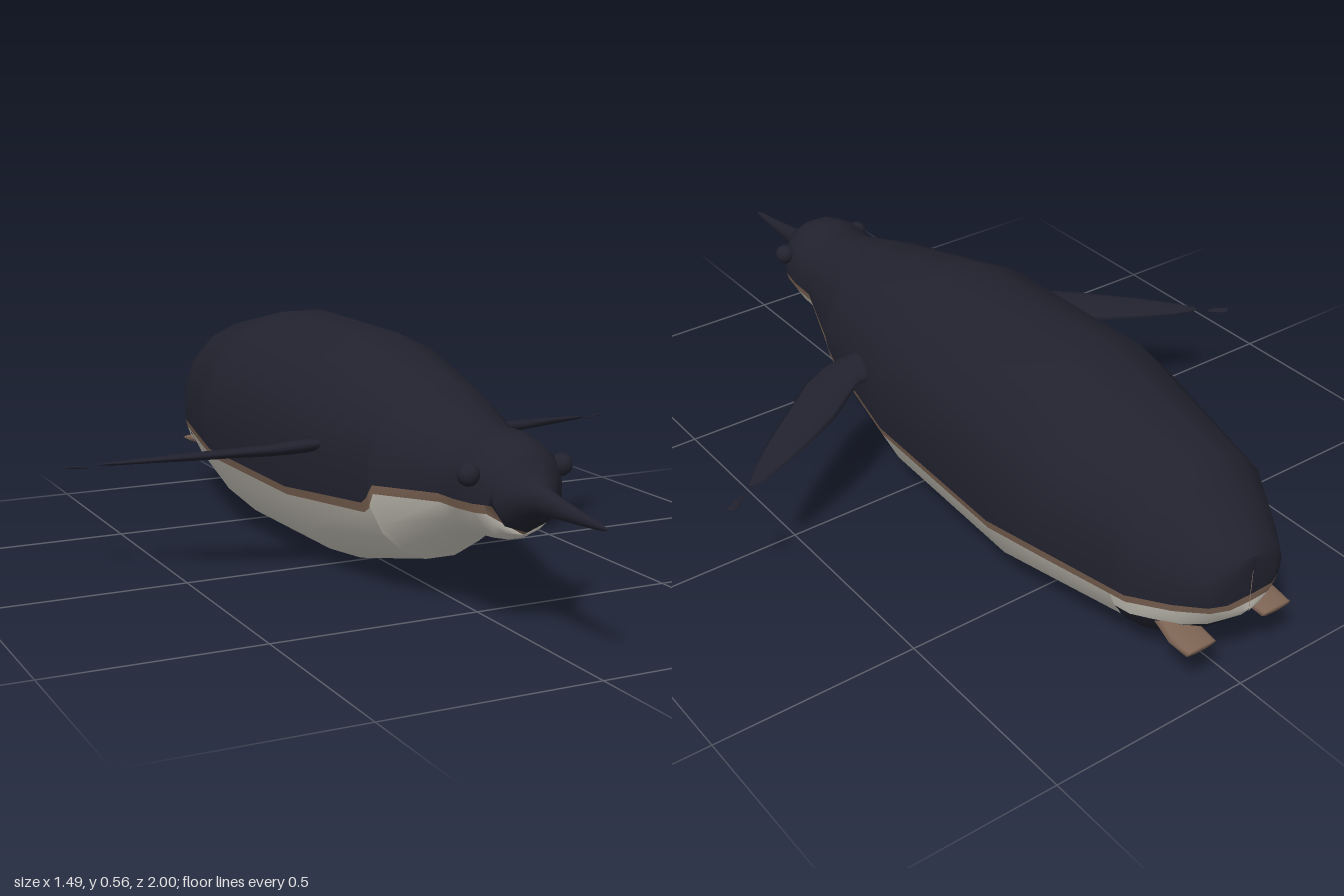
import * as THREE from 'three';

const mat = (name, color) => {
  const m = new THREE.MeshStandardMaterial({ color });
  m.name = name;
  return m;
};

// Skin a list of point rings; rings run counter-clockwise about the path direction
function loft(rings, closed = false) {
  const n = rings[0].length, index = [];
  for (let i = 0; i < rings.length - 1; i++) {
    for (let j = 0; j < (closed ? n : n - 1); j++) {
      const k = (j + 1) % n;
      const a = i * n + j, b = i * n + k, c = a + n, d = b + n;
      index.push(a, b, c, b, d, c);
    }
  }
  const g = new THREE.BufferGeometry();
  g.setAttribute('position', new THREE.Float32BufferAttribute(rings.flat(2), 3));
  g.setIndex(index);
  g.computeVertexNormals();
  return g;
}

// Linear interpolation in a table whose rows start with z, ascending
function sample(table, z) {
  if (z <= table[0][0]) return table[0];
  for (let i = 1; i < table.length; i++) {
    const p = table[i - 1], q = table[i];
    if (z <= q[0]) return p.map((v, k) => v + (q[k] - v) * (z - p[0]) / (q[0] - p[0]));
  }
  return table[table.length - 1];
}

// Body sections: z, half width, bottom y, top y
const BODY = [
  [-1, 0.001, 0.21, 0.355], [-0.998, 0.07, 0.21, 0.355], [-0.98, 0.105, 0.185, 0.375],
  [-0.92, 0.15, 0.125, 0.425], [-0.83, 0.2, 0.06, 0.5], [-0.45, 0.276, 0.005, 0.58],
  [0, 0.258, 0.01, 0.575], [0.33, 0.19, 0.09, 0.495], [0.53, 0.12, 0.2, 0.435],
  [0.6, 0.12, 0.205, 0.445], [0.66, 0.11, 0.215, 0.435], [0.705, 0.085, 0.24, 0.41],
  [0.735, 0.055, 0.275, 0.37], [0.76, 0.032, 0.288, 0.356],
];

// Colour border: z, belly edge y, dark edge y (-1 drops below the body)
const BORDER = [
  [-1, 0.235, 0.253], [-0.83, 0.212, 0.232], [-0.6, 0.205, 0.228], [0, 0.197, 0.217],
  [0.3, 0.213, 0.236], [0.325, 0.228, 0.255], [0.345, 0.265, 0.285], [0.53, 0.28, 0.3],
  [0.685, 0.285, 0.305], [0.69, -1, 0.305], [0.702, -1, 0.305], [0.705, -1, -1], [0.8, -1, -1],
];
const PATCH_Z = -0.79, PATCH_Y = 0.172;

const STATIONS = [...new Set([...BODY, ...BORDER].map(r => r[0]).concat(PATCH_Z, -0.87, -0.95))]
  .filter(z => z <= 0.76).sort((a, b) => a - b);

// Strip of body skin between two angles that depend on height lines
function bodyStrip(zs, segments, range) {
  return loft(zs.map(z => {
    const [, rx, lo, hi] = sample(BODY, z);
    const cy = (lo + hi) / 2, ry = (hi - lo) / 2;
    const angle = y => Math.asin(THREE.MathUtils.clamp((y - cy) / ry, -1, 1));
    const [, bellyY, darkY] = sample(BORDER, z);
    const [a, b] = range(angle(bellyY), angle(darkY), angle(Math.min(PATCH_Y, bellyY)));
    return Array.from({ length: segments + 1 }, (_, j) => {
      const t = a + (b - a) * j / segments;
      return [rx * Math.cos(t), cy + ry * Math.sin(t), z];
    });
  }));
}

// Closed loft of ellipses along z: rows of z, centre x, centre y, half width, half height
const tubeZ = (rows, n) => loft(rows.map(([z, cx, cy, rx, ry]) =>
  Array.from({ length: n }, (_, j) => {
    const t = j / n * Math.PI * 2;
    return [cx + rx * Math.cos(t), cy + ry * Math.sin(t), z];
  })), true);

// Flat wing blade: rows of x, leading z, trailing z, centre y, half thickness
const blade = (rows, side) => loft(rows.map(([x, z1, z2, y, h]) =>
  Array.from({ length: 12 }, (_, j) => {
    const t = side * j / 12 * Math.PI * 2, s = Math.sin(t);
    return [side * x, y + h * Math.cos(t) + 0.1 * (z1 - z2) * s, (z1 + z2) / 2 + (z1 - z2) / 2 * s];
  })), true);

const FLIPPER = [
  [0.2, 0.15, 0.06, 0.335, 0.016], [0.27, 0.15, 0.055, 0.333, 0.016],
  [0.32, 0.142, 0.025, 0.327, 0.014], [0.38, 0.115, -0.015, 0.321, 0.012],
  [0.48, 0.045, -0.06, 0.31, 0.01], [0.56, -0.012, -0.09, 0.301, 0.007],
  [0.63, -0.07, -0.112, 0.293, 0.005], [0.66, -0.1, -0.115, 0.29, 0.003],
  [0.668, -0.109, -0.11, 0.289, 0.001],
];
const FLIPPER_TIP = [
  [0.69, -0.124, -0.126, 0.281, 0.001], [0.715, -0.128, -0.15, 0.281, 0.003],
  [0.735, -0.143, -0.158, 0.281, 0.002], [0.745, -0.143, -0.145, 0.281, 0.001],
];

export function createModel() {
  const model = new THREE.Group();
  const dark = mat('dark plumage', 0x22222f);
  const white = mat('belly white', 0xcfcbc0);
  const brown = mat('brown trim', 0x7c6353);
  const add = (name, geometry, material) => {
    const mesh = new THREE.Mesh(geometry, material);
    mesh.name = name;
    model.add(mesh);
    return mesh;
  };
  const PI = Math.PI;
  const front = STATIONS.filter(z => z >= PATCH_Z), rear = STATIONS.filter(z => z <= PATCH_Z);

  // Body skin, divided along the colour border
  add('back', bodyStrip(STATIONS, 9, (b, d) => [d, PI - d]), dark);
  add('leftBorder', bodyStrip(STATIONS, 1, (b, d) => [b, d]), brown);
  add('rightBorder', bodyStrip(STATIONS, 1, (b, d) => [PI - d, PI - b]), brown);
  add('belly', bodyStrip(front, 7, b => [PI - b, 2 * PI + b]), white);
  add('leftRump', bodyStrip(rear, 2, (b, d, p) => [p, b]), white);
  add('rightRump', bodyStrip(rear, 2, (b, d, p) => [PI - b, PI - p]), white);
  add('underTail', bodyStrip(rear, 7, (b, d, p) => [PI - p, 2 * PI + p]), dark);

  // Beak
  add('beak', tubeZ([
    [0.74, 0, 0.322, 0.036, 0.036], [0.77, 0, 0.322, 0.024, 0.031], [0.82, 0, 0.319, 0.018, 0.024],
    [0.9, 0, 0.316, 0.013, 0.015], [0.97, 0, 0.315, 0.007, 0.008], [1, 0, 0.315, 0.001, 0.002],
  ], 12), dark);

  for (const side of [1, -1]) {
    const label = side > 0 ? 'left' : 'right';
    // Eyes
    add(label + 'Eye', new THREE.SphereGeometry(0.025, 16, 12), dark)
      .position.set(side * 0.113, 0.365, 0.653);
    // Flippers with separate tip feathers
    add(label + 'Flipper', blade(FLIPPER, side), dark);
    add(label + 'FlipperTip', blade(FLIPPER_TIP, side), dark);
    // Feet
    add(label + 'Foot', tubeZ([
      [-0.981, side * 0.108, 0.148, 0.001, 0.001], [-0.98, side * 0.108, 0.148, 0.042, 0.007],
      [-0.93, side * 0.108, 0.153, 0.045, 0.013], [-0.88, side * 0.106, 0.162, 0.036, 0.022],
      [-0.84, side * 0.105, 0.168, 0.03, 0.02],
    ], 10), brown);
  }
  return model;
}
